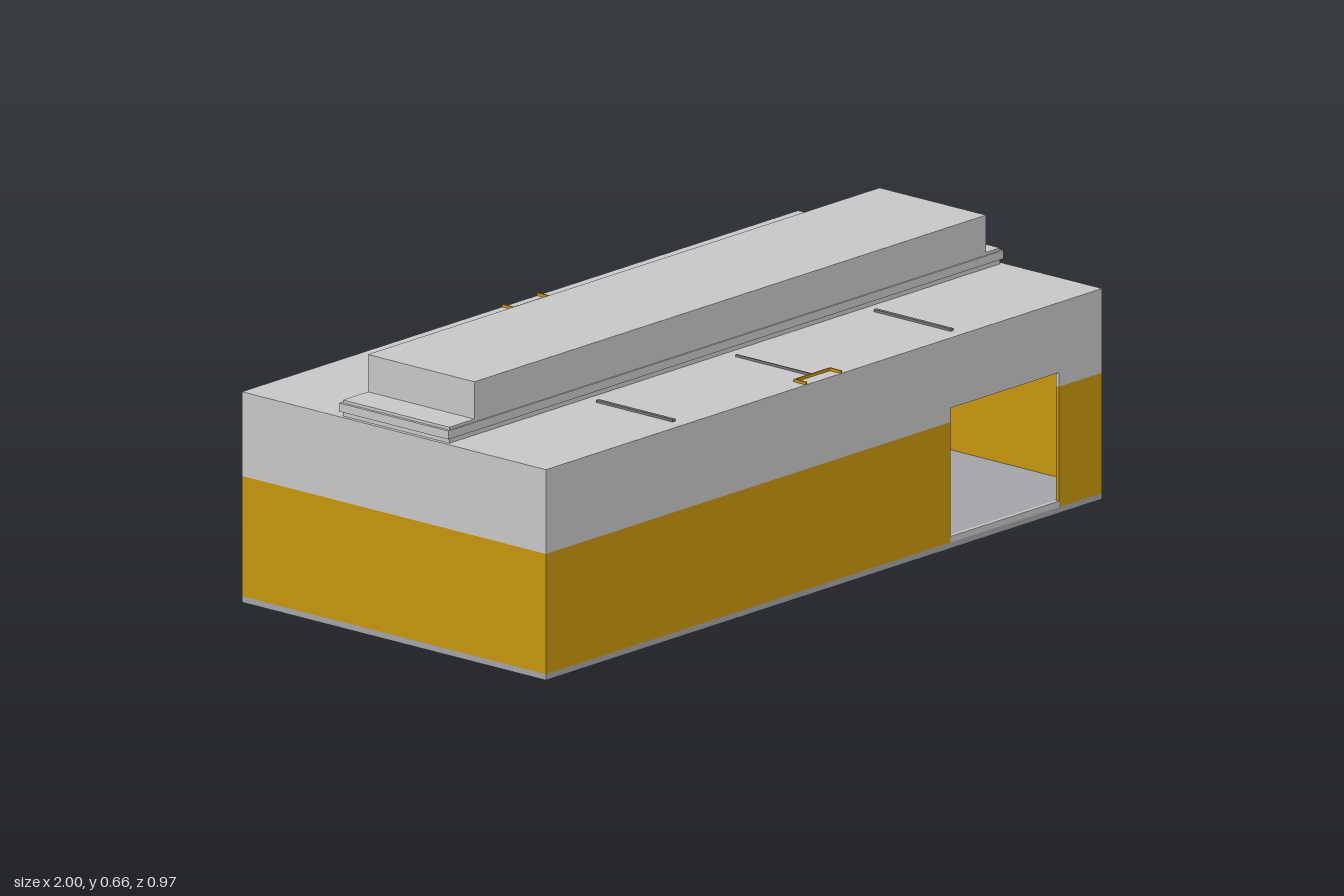
import * as THREE from 'three';

export function createModel() {
  const model = new THREE.Group();
  const mat = (name, color) => {
    const m = new THREE.MeshStandardMaterial({ color });
    m.name = name;
    return m;
  };
  const grey = mat('light grey cladding', 0xc8c8c8);
  const gold = mat('ochre cladding', 0xc8960e);
  const floorGrey = mat('floor grey', 0xa4a5a8);
  const railGrey = mat('rail grey', 0x787878);

  // Box given by its minimum and maximum along each axis
  const box = (name, material, x0, x1, y0, y1, z0, z1, parent = model) => {
    const mesh = new THREE.Mesh(new THREE.BoxGeometry(x1 - x0, y1 - y0, z1 - z0), material);
    mesh.position.set((x0 + x1) / 2, (y0 + y1) / 2, (z0 + z1) / 2);
    mesh.name = name;
    parent.add(mesh);
    return mesh;
  };

  const X = 1, Z = 0.485, T = 0.01;      // half width, half depth, wall thickness
  const BASE = 0.015, BAND = 0.315, ROOF = 0.525;
  const DOOR = { x0: 0.455, x1: 0.845, top: 0.35 };

  // Floor slab, with a pale threshold in the doorway
  box('baseSlab', floorGrey, -X, X, 0, BASE, -Z, Z);
  box('floor', floorGrey, -X + T, X - T, BASE, 0.03, -Z + T, Z - T);
  box('threshold', grey, DOOR.x0, DOOR.x1, BASE, 0.03, Z - T, Z);

  // Back and end walls: ochre below, grey above
  for (const [name, m, y0, y1] of [['Lower', gold, BASE, BAND], ['Upper', grey, BAND, ROOF - T]]) {
    box('back' + name + 'Wall', m, -X, X, y0, y1, -Z, -Z + T);
    box('left' + name + 'Wall', m, X - T, X, y0, y1, -Z + T, Z - T);
    box('right' + name + 'Wall', m, -X, -X + T, y0, y1, -Z + T, Z - T);
  }

  // Front wall around the doorway
  for (const [x0, x1] of [[-X, DOOR.x0], [DOOR.x1, X]]) {
    box('frontLowerWall', gold, x0, x1, BASE, BAND, Z - T, Z);
    box('frontUpperWall', grey, x0, x1, BAND, DOOR.top, Z - T, Z);
  }
  box('frontHeaderWall', grey, -X, X, DOOR.top, ROOF - T, Z - T, Z);

  // Flat roof
  box('roof', grey, -X, X, ROOF - T, ROOF, -Z, Z);

  // Raised roof vent: curb, projecting lip and upper housing
  const vent = new THREE.Group();
  vent.name = 'roofVent';
  model.add(vent);
  box('ventCurb', grey, -0.99, 0.99, ROOF, 0.565, -0.172, 0.168, vent);
  box('ventLip', grey, -0.998, 0.998, 0.537, 0.558, -0.177, 0.172, vent);
  box('ventHousing', grey, -0.9, 0.94, 0.565, 0.658, -0.172, 0.168, vent);

  // Rails and ochre brackets on both roof slopes
  for (const s of [1, -1]) {
    const side = new THREE.Group();
    side.name = s > 0 ? 'frontRoofFittings' : 'backRoofFittings';
    model.add(side);
    const span = (a, b) => (s > 0 ? [a, b] : [-b, -a]);
    for (const [x, w] of [[-0.5, 0.005], [0, 0.002], [0.5, 0.005]])
      box('roofRail', railGrey, x - w, x + w, ROOF, 0.531, ...span(0.205, 0.45), side);
    for (const x of [-0.063, 0.063])
      box('bracketArm', gold, x - 0.002, x + 0.002, ROOF, 0.532, ...span(0.448, Z), side);
    box('bracketBar', gold, -0.065, 0.065, ROOF, 0.532, ...span(0.446, 0.45), side);
  }

  return model;
}
